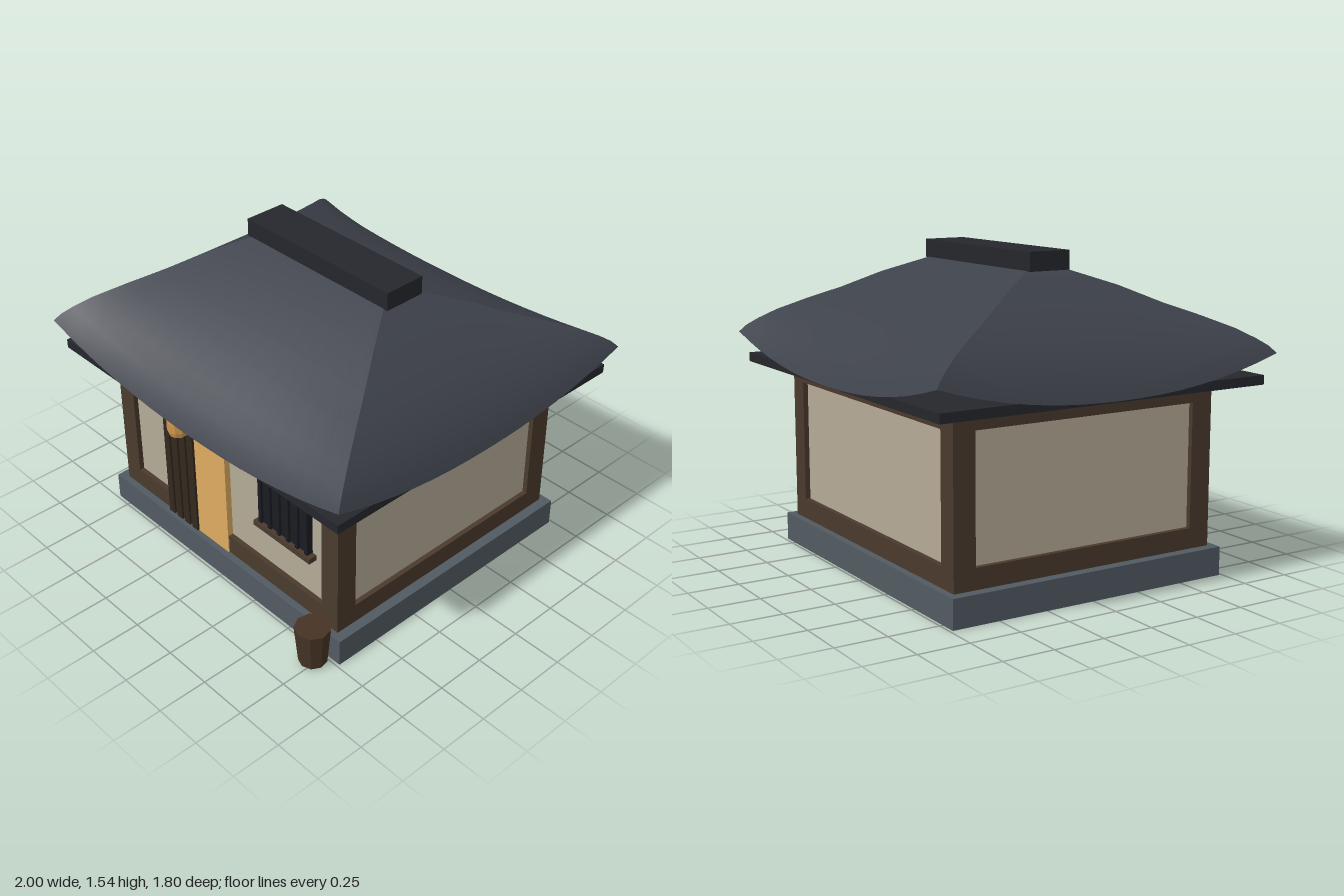
import * as THREE from 'three';

const mat = (color, extra = {}) => new THREE.MeshStandardMaterial({ color, ...extra });
const TIMBER = mat(0x4a3a2c), DARK = mat(0x32281f), PLASTER = mat(0xb5ab97);
const STONE = mat(0x525a62), RIDGE = mat(0x26272c), GLOW = mat(0xdeab60);
const NIGHT = mat(0x1b1c22), LANTERN = mat(0xd0954a, { flatShading: true });
const WOOD = mat(0x463424, { flatShading: true });
const ROOF = mat(0x3d414a, { side: THREE.DoubleSide });

function add(parent, name, geometry, material, x = 0, y = 0, z = 0) {
  const mesh = new THREE.Mesh(geometry, material);
  mesh.name = name;
  mesh.position.set(x, y, z);
  parent.add(mesh);
  return mesh;
}

// Box given by its limits on each axis
function block(parent, name, material, [x0, x1], [y0, y1], [z0, z1]) {
  const g = new THREE.BoxGeometry(x1 - x0, y1 - y0, z1 - z0);
  return add(parent, name, g, material, (x0 + x1) / 2, (y0 + y1) / 2, (z0 + z1) / 2);
}

function group(parent, name) {
  const g = new THREE.Group();
  g.name = name;
  parent.add(g);
  return g;
}

// Profile down the middle of a slope: [share of the run, height]
const PROFILE = [[0, 1.46], [0.25, 1.385], [0.46, 1.3], [0.64, 1.225],
  [0.8, 1.135], [0.9, 1.055], [0.96, 0.995], [1, 0.94]];

// One roof slope whose eave sweeps up towards both corners
function slopeGeometry(topHalf, eaveHalf, topOut, eaveOut) {
  const N = 16, pos = [], index = [];
  PROFILE.forEach(([t, y], r) => {
    const half = THREE.MathUtils.lerp(topHalf, eaveHalf, t);
    const out = THREE.MathUtils.lerp(topOut, eaveOut, t);
    for (let i = 0; i <= N; i++) {
      const u = (i / N) * 2 - 1;
      pos.push(u * half, y + 0.135 * t ** 4 * Math.abs(u) ** 2.2, out);
      if (r > 0 && i < N) {
        const c = r * (N + 1) + i, a = c - N - 1;
        index.push(a, c, c + 1, a, c + 1, a + 1);
      }
    }
  });
  const g = new THREE.BufferGeometry();
  g.setAttribute('position', new THREE.Float32BufferAttribute(pos, 3));
  g.setIndex(index);
  g.computeVertexNormals();
  return g;
}

export function createModel() {
  const model = new THREE.Group();
  model.name = 'house';

  // Stone base
  block(model, 'stoneBase', STONE, [-0.835, 0.835], [0, 0.14], [-0.735, 0.735]);

  // Plaster walls set back inside a timber frame
  block(model, 'plasterWalls', PLASTER, [-0.76, 0.76], [0.14, 0.93], [-0.675, 0.675]);
  const frame = group(model, 'timberFrame');
  for (const sx of [-1, 1]) {
    for (const sz of [-1, 1]) {
      add(frame, 'cornerPost', new THREE.BoxGeometry(0.105, 0.79, 0.11), TIMBER,
        sx * 0.7325, 0.535, sz * 0.645);
    }
  }
  for (const [y0, y1, name] of [[0.14, 0.24, 'sillBeam'], [0.84, 0.93, 'topBeam']]) {
    for (const s of [-1, 1]) {
      add(frame, name, new THREE.BoxGeometry(1.36, y1 - y0, 0.1), TIMBER, 0, (y0 + y1) / 2, s * 0.65);
      add(frame, name, new THREE.BoxGeometry(0.1, y1 - y0, 1.18), TIMBER, s * 0.735, (y0 + y1) / 2, 0);
    }
  }

  // Roof: eave board, four curved slopes and ridge cap
  const roof = group(model, 'roof');
  block(roof, 'eaveBoard', RIDGE, [-0.958, 0.958], [0.925, 0.97], [-0.865, 0.865]);
  for (let i = 0; i < 4; i++) {
    const g = i % 2 ? slopeGeometry(0.1, 0.9, 0.44, 1) : slopeGeometry(0.44, 1, 0.1, 0.9);
    add(roof, 'roofSlope', g, ROOF).rotation.y = i * Math.PI / 2;
  }
  block(roof, 'ridgeCap', RIDGE, [-0.468, 0.468], [1.455, 1.545], [-0.108, 0.108]);

  // Sliding door: slatted panel beside a glowing panel
  const door = group(model, 'door');
  block(door, 'slattedPanel', DARK, [-0.43, -0.2], [0.14, 0.75], [0.66, 0.704]);
  for (let i = 0; i < 4; i++) {
    const x = -0.405 + i * 0.06;
    block(door, 'doorSlat', DARK, [x - 0.02, x + 0.02], [0.14, 0.75], [0.7, 0.714]);
  }
  block(door, 'glowingPanel', GLOW, [-0.2, 0.025], [0.14, 0.75], [0.66, 0.706]);
  block(door, 'lintel', TIMBER, [-0.47, 0.062], [0.743, 0.785], [0.66, 0.722]);
  block(door, 'lintelBracket', TIMBER, [-0.027, 0.022], [0.785, 0.84], [0.66, 0.71]);

  // Barred window
  const win = group(model, 'window');
  block(win, 'windowPane', NIGHT, [0.265, 0.595], [0.47, 0.78], [0.66, 0.697]);
  for (let i = 0; i < 6; i++) {
    const x = 0.275 + i * 0.062;
    block(win, 'windowBar', NIGHT, [x - 0.01, x + 0.01], [0.47, 0.78], [0.69, 0.71]);
  }
  block(win, 'windowHead', TIMBER, [0.24, 0.62], [0.768, 0.795], [0.66, 0.72]);
  block(win, 'windowSill', TIMBER, [0.24, 0.62], [0.455, 0.483], [0.66, 0.72]);

  // Lantern hanging under the front eave
  const lantern = group(model, 'lantern');
  lantern.position.set(-0.205, 0.825, 0.785);
  const body = [[0, -0.05], [0.046, -0.05], [0.053, -0.025], [0.053, 0.025], [0.046, 0.05], [0, 0.05]];
  add(lantern, 'lanternPaper', new THREE.LatheGeometry(body.map(p => new THREE.Vector2(...p)), 10), LANTERN);
  for (const s of [-1, 1]) {
    add(lantern, 'lanternCap', new THREE.CylinderGeometry(0.021, 0.021, 0.022, 8), DARK, 0, s * 0.057, 0);
  }

  // Tapered wooden tub by the front corner
  add(model, 'tub', new THREE.CylinderGeometry(0.086, 0.068, 0.2, 9), WOOD, 0.73, 0.108, 0.802);

  return model;
}
